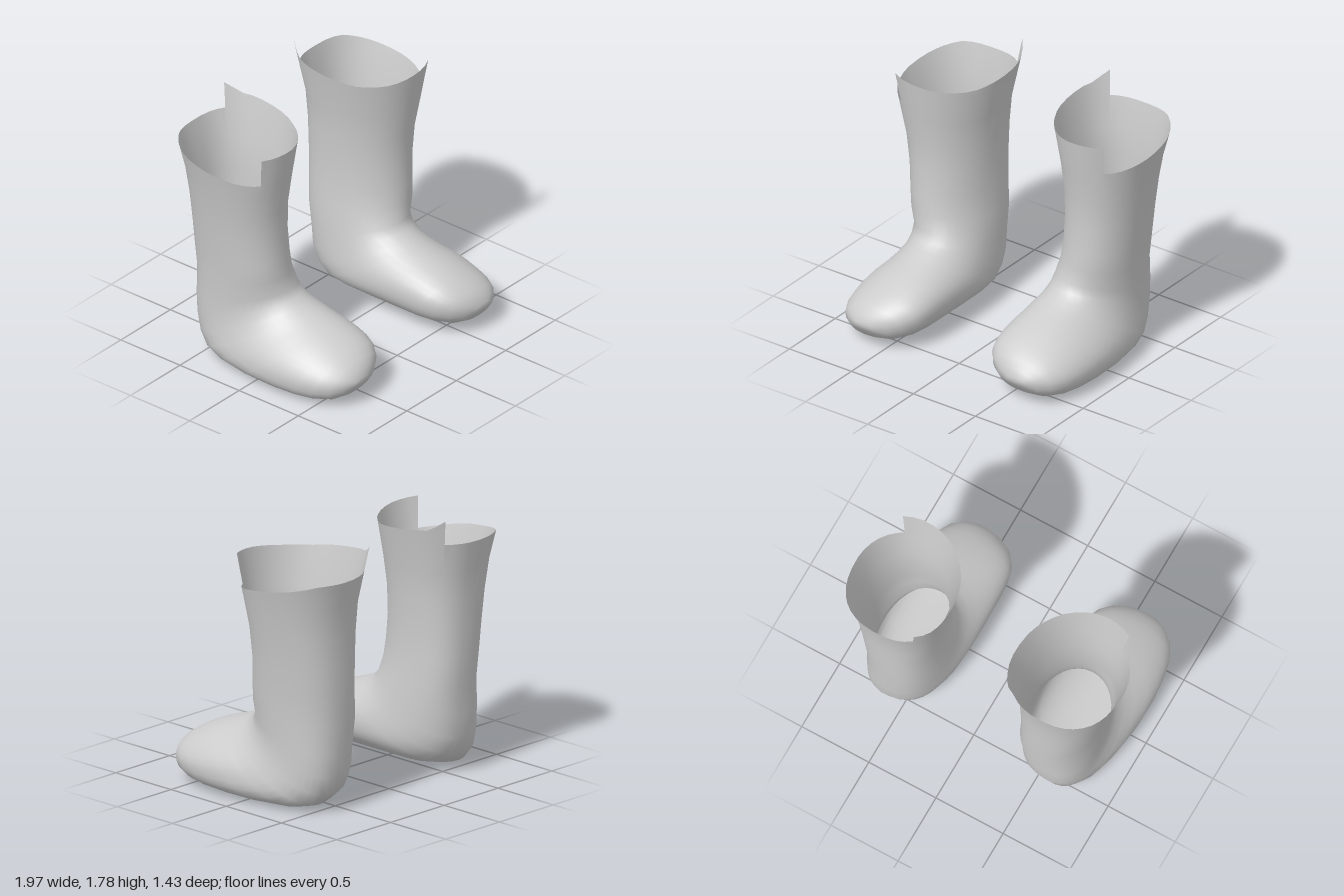
import * as THREE from 'three';
import { mergeVertices } from 'three/addons/utils/BufferGeometryUtils.js';

// Cross-sections from shaft to toe:
// front z, front y, back z, back y, inner x, outer x, skew
const SECTIONS = [
  [0.065, 1.40, -0.67, 1.40, 0.31, 0.95, 0],
  [0.035, 1.20, -0.655, 1.20, 0.33, 0.91, 0],
  [0.03, 1.00, -0.65, 1.00, 0.34, 0.88, 0],
  [0.045, 0.82, -0.645, 0.80, 0.34, 0.86, 0],
  [0.055, 0.70, -0.635, 0.60, 0.325, 0.845, 0],
  [0.07, 0.59, -0.625, 0.40, 0.31, 0.835, 0.03],
  [0.11, 0.545, -0.615, 0.25, 0.30, 0.835, 0.06],
  [0.17, 0.51, -0.575, 0.13, 0.29, 0.845, 0.1],
  [0.24, 0.48, -0.49, 0.05, 0.275, 0.87, 0.14],
  [0.32, 0.45, -0.35, 0.02, 0.27, 0.895, 0.18],
  [0.39, 0.425, -0.10, 0.012, 0.27, 0.92, 0.22],
  [0.47, 0.395, 0.15, 0.012, 0.275, 0.92, 0.24],
  [0.54, 0.365, 0.33, 0.015, 0.285, 0.905, 0.24],
  [0.60, 0.335, 0.47, 0.025, 0.31, 0.88, 0.22],
  [0.66, 0.295, 0.59, 0.045, 0.37, 0.83, 0.18],
  [0.70, 0.25, 0.66, 0.08, 0.45, 0.76, 0.1],
  [0.72, 0.20, 0.71, 0.14, 0.54, 0.69, 0],
];
const RIM = [0.098, 1.64, -0.715, 1.64, 0.262, 1.01, 0];

// Rim height by angle; the rim jumps at the front and back steps
const FRONT_STEP = 62, BACK_STEP = 233;
const HIGH_RIM = [[62, 1.68], [90, 1.67], [120, 1.65], [150, 1.65], [180, 1.68], [205, 1.705], [215, 1.71], [233, 1.78]];
const LOW_RIM = [[233, 1.61], [270, 1.60], [300, 1.605], [330, 1.57], [360, 1.535], [405, 1.48], [422, 1.47]];

function heightAt(table, angle) {
  let i = 1;
  while (i < table.length - 1 && angle > table[i][0]) i++;
  const [a0, y0] = table[i - 1], [a1, y1] = table[i];
  return y0 + (y1 - y0) * (angle - a0) / (a1 - a0);
}

// Point on a section's rounded outline; angle 0 is outward, 90 is front
function sectionPoint([fz, fy, bz, by, xin, xout, skew], angle) {
  const t = THREE.MathUtils.degToRad(angle);
  const c = Math.cos(t), s = Math.sin(t);
  const e = s > 0 ? 0.97 : 0.83; // the back and sole are squarer
  const u = Math.sign(c) * Math.abs(c) ** e;
  const v = Math.sign(s) * Math.abs(s) ** e;
  const w = v - skew * u;
  const shear = fy > 0.6 ? 0.025 : 0;
  return new THREE.Vector3(
    (xin + xout) / 2 + (xout - xin) / 2 * u + shear * v,
    (fy + by) / 2 + (fy - by) / 2 * w,
    (fz + bz) / 2 + (fz - bz) / 2 * w
  );
}

// Columns round the boot, doubled at both steps
function makeColumns() {
  const columns = [];
  const addSpan = (from, to, table) => {
    const n = Math.round((to - from) / 10);
    for (let i = 0; i <= n; i++) {
      const angle = from + (to - from) * i / n;
      columns.push({ angle, top: heightAt(table, angle) });
    }
  };
  addSpan(FRONT_STEP, BACK_STEP, HIGH_RIM);
  addSpan(BACK_STEP, FRONT_STEP + 360, LOW_RIM);
  return columns;
}

function bootGeometry(side) {
  const columns = makeColumns(), n = columns.length;
  const positions = [], index = [];
  const push = (p) => positions.push(p.x * side, p.y, p.z);
  const face = (a, b, c) => (side > 0 ? index.push(a, b, c) : index.push(a, c, b));

  // Flared rim, reached by extending the shaft to each column's height
  for (const { angle, top } of columns) {
    const low = sectionPoint(SECTIONS[0], angle), high = sectionPoint(RIM, angle);
    push(low.lerp(high, (top - low.y) / (high.y - low.y)));
  }
  for (const section of SECTIONS) {
    for (const { angle } of columns) push(sectionPoint(section, angle));
  }
  for (let j = 0; j < SECTIONS.length; j++) {
    for (let i = 0; i < n; i++) {
      const next = (i + 1) % n;
      if ((columns[next].angle - columns[i].angle) % 360 === 0) continue;
      const a = j * n + i, b = j * n + next;
      face(a, b, a + n);
      face(b, b + n, a + n);
    }
  }
  // Toe tip
  const pole = positions.length / 3, last = SECTIONS.length * n;
  push(new THREE.Vector3(0.615, 0.17, 0.72));
  for (let i = 0; i < n; i++) {
    const next = (i + 1) % n;
    if ((columns[next].angle - columns[i].angle) % 360 !== 0) face(last + i, last + next, pole);
  }

  const raw = new THREE.BufferGeometry();
  raw.setAttribute('position', new THREE.Float32BufferAttribute(positions, 3));
  raw.setIndex(index);
  const geometry = mergeVertices(raw, 1e-5);
  geometry.computeVertexNormals();
  return geometry;
}

export function createModel() {
  const group = new THREE.Group();
  group.name = 'boots';
  const grey = new THREE.MeshStandardMaterial({ color: 0xcccccc, side: THREE.DoubleSide });
  grey.name = 'light grey';
  for (const [name, side] of [['leftBoot', 1], ['rightBoot', -1]]) {
    const boot = new THREE.Mesh(bootGeometry(side), grey);
    boot.name = name;
    group.add(boot);
  }
  return group;
}
